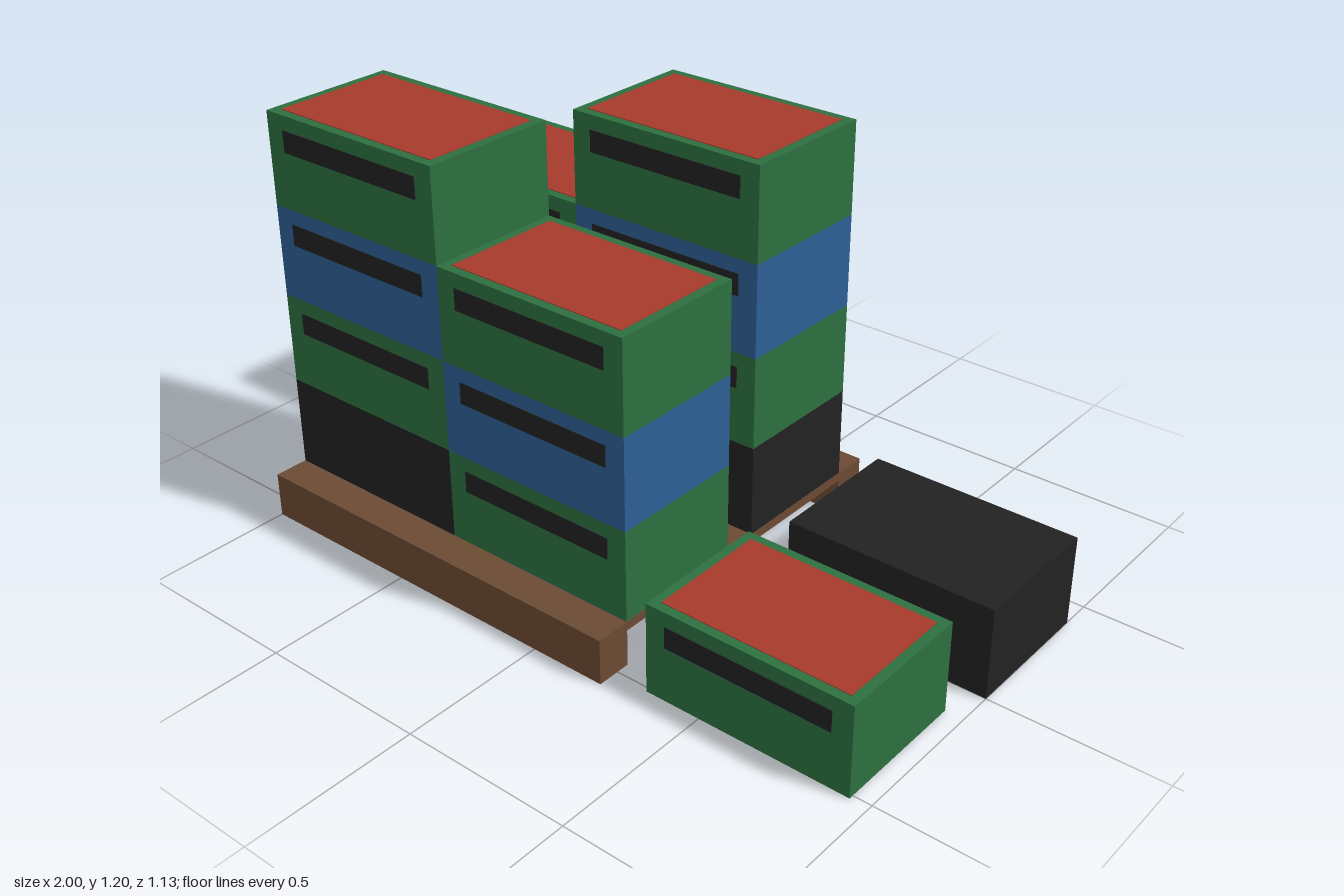
import * as THREE from 'three';

const material = (name, color) => {
  const m = new THREE.MeshStandardMaterial({ color });
  m.name = name;
  return m;
};

const W = 0.613, H = 0.2667, D = 0.41; // crate size
const DECK_TOP = 0.1333;

export function createModel() {
  const model = new THREE.Group();
  model.name = 'palletWithCrates';

  const green = material('green', 0x2d7040);
  const blue = material('blue', 0x2d5f95);
  const black = material('black', 0x222222);
  const brown = material('brown', 0x6b4a33);
  const red = material('red', 0xa63a2c);

  const box = (parent, name, mat, size, pos) => {
    const mesh = new THREE.Mesh(new THREE.BoxGeometry(...size), mat);
    mesh.name = name;
    mesh.position.set(...pos);
    parent.add(mesh);
  };

  // One crate standing at (x, y, z); coloured crates carry a front label
  const crate = (name, mat, x, y, z, isTop) => {
    const group = new THREE.Group();
    group.name = name;
    group.position.set(x, y, z);
    box(group, 'crateBody', mat, [W, H, D], [0, H / 2, 0]);
    if (mat !== black) {
      box(group, 'crateLabel', black, [0.495, 0.062, 0.004], [0, H - 0.073, D / 2]);
      if (isTop) box(group, 'crateContents', red, [W - 0.054, 0.004, D - 0.054], [0, H, 0]);
    }
    model.add(group);
  };

  // Pallet: thin deck on three runners
  const pallet = new THREE.Group();
  pallet.name = 'pallet';
  const length = 1.227, px = -1 + length / 2;
  box(pallet, 'palletDeck', brown, [length, 0.0267, 0.93], [px, DECK_TOP - 0.01335, 0]);
  for (const z of [-0.513, 0, 0.513]) {
    box(pallet, 'palletRunner', brown, [length, DECK_TOP, 0.104], [px, DECK_TOP / 2, z]);
  }
  model.add(pallet);

  // Four stacks, listed from the bottom crate upwards
  const stacks = [
    ['frontRight', -1 + W / 2, 0.257, [black, green, blue, green]],
    ['frontLeft', -1 + W * 1.5, 0.257, [green, blue, green]],
    ['backRight', -1 + W / 2, -0.257, [green, black, green]],
    ['backLeft', -1 + W * 1.5, -0.257, [black, green, blue, green]],
  ];
  for (const [name, x, z, mats] of stacks) {
    mats.forEach((mat, i) =>
      crate(`${name}Crate${i + 1}`, mat, x, DECK_TOP + i * H, z, i === mats.length - 1));
  }

  // Loose crates on the ground
  crate('looseGreenCrate', green, 0.64, 0, 0.308, true);
  crate('looseBlackCrate', black, 1 - W / 2, 0, -0.205, true);

  return model;
}
